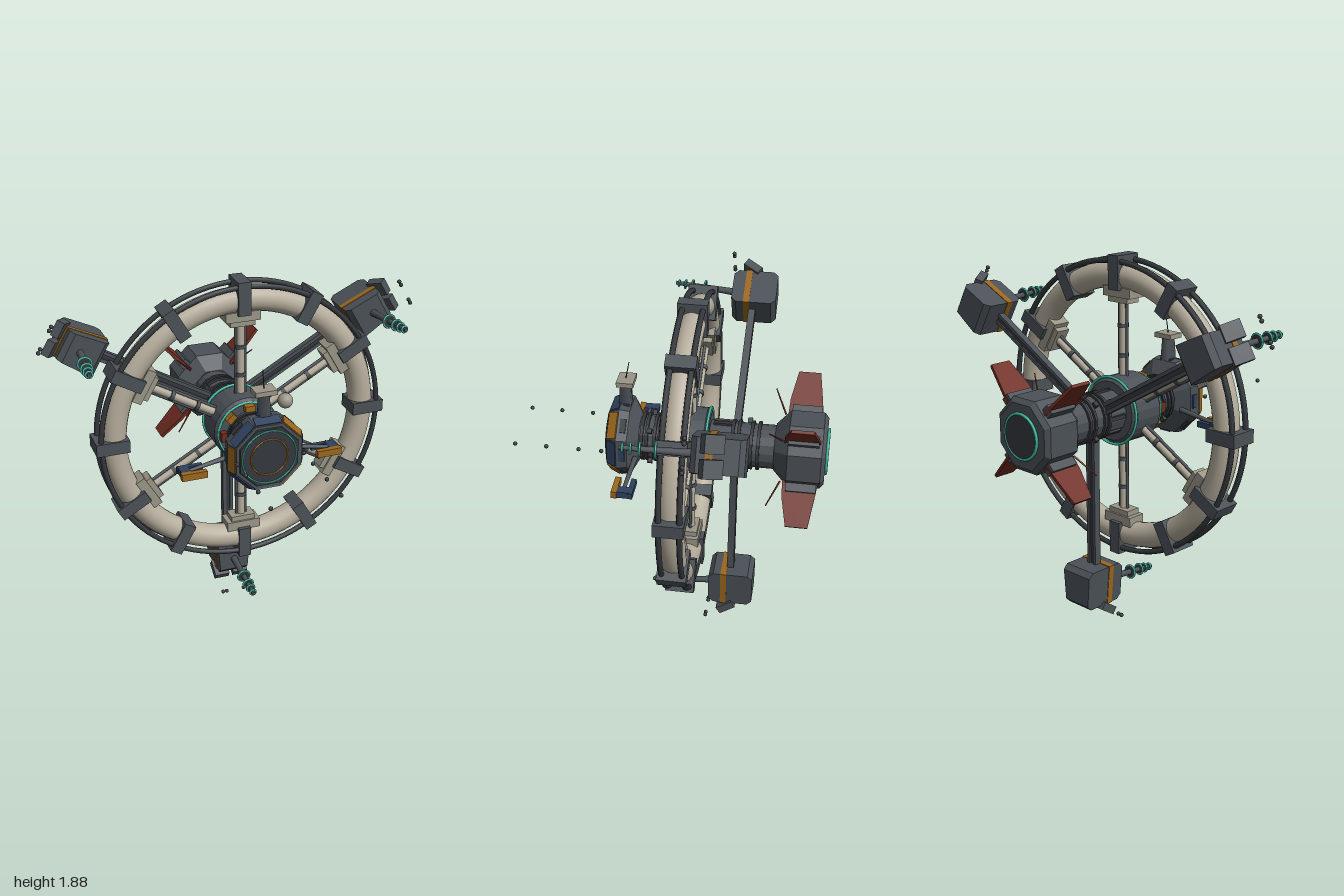
import * as THREE from 'three';

const V = (x, y, z) => new THREE.Vector3(x, y, z);
const UP = V(0, 1, 0);

function mat(name, color) {
  const m = new THREE.MeshStandardMaterial({ color });
  m.name = name;
  return m;
}

export function createModel() {
  const hull = mat('hullGrey', 0x4b5157), dark = mat('darkGrey', 0x34383c);
  const cream = mat('cream', 0xb6ae9d), stone = mat('stoneGrey', 0x9a9687);
  const teal = mat('teal', 0x40bfa6), rust = mat('rust', 0x702c22);
  const orange = mat('orange', 0x9c671c), navy = mat('navy', 0x30415e);

  const model = new THREE.Group();
  model.name = 'ringStation';
  const station = new THREE.Group();
  station.name = 'station';
  station.position.y = 1.11;
  model.add(station);

  const add = (parent, name, geo, m, x = 0, y = 0, z = 0) => {
    const mesh = new THREE.Mesh(geo, m);
    mesh.name = name;
    mesh.position.set(x, y, z);
    parent.add(mesh);
    return mesh;
  };
  const box = (parent, name, m, w, h, d, x, y, z) =>
    add(parent, name, new THREE.BoxGeometry(w, h, d), m, x, y, z);
  // Tapered rod between two points
  const rod = (parent, name, m, a, b, r1, r2 = r1, sides = 10) => {
    const d = b.clone().sub(a), c = a.clone().add(b).multiplyScalar(0.5);
    const mesh = add(parent, name, new THREE.CylinderGeometry(r2, r1, d.length(), sides), m, c.x, c.y, c.z);
    mesh.quaternion.setFromUnitVectors(UP, d.normalize());
    return mesh;
  };
  // Faceted solid around the z axis from [apothem, z] points, z rising
  const turned = (name, m, pts, sides) => {
    const k = 1 / Math.cos(Math.PI / sides);
    const g = new THREE.LatheGeometry(pts.map(([r, z]) => new THREE.Vector2(r * k, z)), sides, Math.PI / sides)
      .rotateX(Math.PI / 2).toNonIndexed();
    g.computeVertexNormals();
    return add(station, name, g, m);
  };
  const hoop = (parent, name, m, R, r, z, seg = 64) =>
    add(parent, name, new THREE.TorusGeometry(R, r, 8, seg), m, 0, 0, z);
  // Group whose +y points outward at the given angle
  const spoke = (name, deg) => {
    const g = new THREE.Group();
    g.name = name;
    g.rotation.z = THREE.MathUtils.degToRad(deg - 90);
    station.add(g);
    return g;
  };

  // Habitat ring with outer rails and clamps
  const ringZ = -0.1;
  add(station, 'habitatRing', new THREE.TorusGeometry(0.668, 0.064, 20, 96), cream, 0, 0, ringZ);
  for (const s of [-1, 1]) hoop(station, 'outerRail', dark, 0.742, 0.014, ringZ + s * 0.049, 96);
  for (let i = 0; i < 12; i++) {
    box(spoke('clampMount', i * 30), 'ringClamp', hull, 0.066, 0.17, 0.144, 0, 0.687, ringZ);
  }

  // Six spokes
  for (let i = 0; i < 6; i++) {
    const g = spoke('spoke', 30 + i * 60);
    rod(g, 'spokeTube', cream, V(0, 0.15, ringZ), V(0, 0.6, ringZ), 0.021, 0.021, 14);
    for (const s of [-1, 1]) rod(g, 'spokeRail', hull, V(s * 0.025, 0.15, ringZ), V(s * 0.025, 0.56, ringZ), 0.008);
    for (const r of [0.27, 0.42]) rod(g, 'spokeCollar', hull, V(0, r - 0.01, ringZ), V(0, r + 0.01, ringZ), 0.028);
    box(g, 'spokeFoot', stone, 0.18, 0.05, 0.1, 0, 0.59, ringZ);
    box(g, 'spokeFootStep', stone, 0.13, 0.03, 0.08, 0, 0.552, ringZ);
  }

  // Central spine
  turned('spine', hull, [[0, -0.56], [0.108, -0.56], [0.108, 0.19], [0, 0.19]], 16);
  for (const z of [-0.44, -0.405, -0.34, -0.31, 0.05, 0.075, 0.115, 0.14])
    turned('spineCollar', dark, [[0.1, z - 0.008], [0.12, z - 0.008], [0.12, z + 0.008], [0.1, z + 0.008]], 16);
  turned('ringHub', hull, [[0, -0.195], [0.15, -0.195], [0.17, -0.175], [0.17, -0.015], [0.15, 0.01], [0, 0.01]], 24);
  hoop(station, 'hubLightBack', teal, 0.172, 0.007, -0.187);
  hoop(station, 'hubLightFront', teal, 0.155, 0.006, 0.006);
  for (let i = 0; i < 8; i++) {
    const g = spoke('hubBoxMount', i * 45);
    box(g, 'hubBox', i % 4 ? orange : rust, 0.05, 0.03, 0.036, 0, 0.137, 0.03);
    box(g, 'spineRib', dark, 0.022, 0.014, 0.1, 0, 0.112, -0.26);
  }
  for (const z of [-0.385, 0.1]) for (let i = 0; i < 4; i++)
    box(spoke('jetMount', 45 + i * 90), 'spineJet', dark, 0.024, 0.025, 0.024, 0, 0.124, z);

  // Octagonal command head
  turned('commandHead', hull, [[0, 0.155], [0.108, 0.155], [0.185, 0.2], [0.193, 0.25], [0.168, 0.305], [0, 0.305]], 8);
  turned('headFace', dark, [[0, 0.3], [0.155, 0.3], [0.15, 0.312], [0, 0.312]], 8);
  hoop(station, 'headTealRing', teal, 0.14, 0.004, 0.312);
  hoop(station, 'headOrangeRing', orange, 0.095, 0.004, 0.312);
  const rim = [navy, orange, navy, navy, orange, navy, hull, orange];
  rim.forEach((m, i) => {
    const g = spoke('headFacet', i * 45);
    const bevel = box(g, 'bevelPlate', m, 0.135, 0.009, 0.05, 0, 0.182, 0.278);
    bevel.rotation.x = Math.atan2(0.025, 0.055);
    box(g, 'rimPlate', i % 2 ? dark : navy, 0.07, 0.009, 0.03, 0, 0.191, 0.225);
  });

  // Mast on top of the head
  const mast = add(station, 'mastBase', new THREE.CylinderGeometry(0.034, 0.045, 0.14, 4, 1, false, Math.PI / 4), hull, 0, 0.25, 0.232);
  mast.scale.x = 0.8;
  box(station, 'mastPlate', stone, 0.11, 0.025, 0.085, 0, 0.317, 0.228);
  rod(station, 'mastWhip', dark, V(0, 0.32, 0.232), V(0, 0.42, 0.213), 0.003, 0.002, 6);
  add(station, 'sensorBall', new THREE.SphereGeometry(0.04, 20, 14), stone, 0.23, 0.1, -0.06);

  // Side grippers and forward beacons
  for (const s of [-1, 1]) {
    rod(station, 'gripperArm', hull, V(s * 0.15, -0.04, 0.165), V(s * 0.38, -0.075, 0.18), 0.014, 0.009);
    box(station, 'gripperPalm', navy, 0.05, 0.034, 0.08, s * 0.39, -0.08, 0.18);
    box(station, 'gripperBackJaw', navy, 0.13, 0.03, 0.026, s * 0.355, -0.08, 0.143);
    box(station, 'gripperFrontJaw', orange, 0.13, 0.036, 0.028, s * 0.355, -0.08, 0.221);
    for (const z of [0.33, 0.445, 0.61, 0.77])
      add(station, 'beacon', new THREE.SphereGeometry(0.011, 10, 8), dark, s * 0.172, 0, z);
  }

  // Engine block, lit end and diagonal fins
  turned('engineBlock', hull, [[0, -0.775], [0.155, -0.775], [0.178, -0.755], [0.178, -0.59], [0.11, -0.52], [0, -0.52]], 8);
  turned('engineEnd', dark, [[0, -0.785], [0.105, -0.785], [0.11, -0.77], [0, -0.77]], 24);
  hoop(station, 'engineLight', teal, 0.11, 0.007, -0.781);
  const finShape = new THREE.Shape([[-0.75, 0.15], [-0.735, 0.26], [-0.715, 0.395], [-0.605, 0.395], [-0.575, 0.25], [-0.57, 0.15]]
    .map(([z, r]) => new THREE.Vector2(-z, r)));
  const finGeo = new THREE.ExtrudeGeometry(finShape, { depth: 0.016, bevelEnabled: false })
    .translate(0, 0, -0.008).rotateY(Math.PI / 2);
  for (let i = 0; i < 4; i++) {
    const g = spoke('finMount', 45 + i * 90);
    add(g, 'fin', finGeo, rust);
    box(g, 'finRoot', hull, 0.05, 0.07, 0.15, 0, 0.185, -0.665);
    rod(g, 'finSpike', rust, V(0, 0.17, -0.56), V(0, 0.3, -0.5), 0.005, 0.003, 6);
  }

  // Outer pods: chamfered side outline, narrower at the outer end
  const taper = (g) => {
    const p = g.attributes.position;
    for (let i = 0; i < p.count; i++) p.setX(i, p.getX(i) * (1 - 0.95 * p.getY(i)));
    g.computeVertexNormals();
    return g;
  };
  const a = 0.117, b = 0.104, c = 0.025;
  const outline = new THREE.Shape([[-a, -b + c], [-a + c, -b], [a - c, -b], [a, -b + c], [a, b - c], [a - c, b], [-a + c, b], [-a, b - c]]
    .map(([z, y]) => new THREE.Vector2(z, y)));
  const podGeo = taper(new THREE.ExtrudeGeometry(outline, { depth: 0.172, bevelEnabled: false })
    .translate(0, 0, -0.086).rotateY(-Math.PI / 2));
  const bandGeo = taper(new THREE.BoxGeometry(0.178, 0.213, 0.032));
  for (const deg of [30, 150, 270]) {
    const g = spoke('podArm', deg);
    for (const s of [-1, 1]) {
      box(g, 'boomRail', hull, 0.018, 0.7, 0.036, s * 0.02, 0.45, -0.32);
      const thruster = box(g, 'podThruster', hull, 0.082, 0.042, 0.095, s * 0.053, 1.012, -0.305);
      thruster.rotation.x = -0.59;
      for (const x of [0.05, 0.072])
        add(g, 'podBeacon', new THREE.SphereGeometry(0.011, 10, 8), dark, s * x, 1.096, -0.195);
    }
    box(g, 'boomCore', dark, 0.024, 0.7, 0.022, 0, 0.45, -0.32);
    add(g, 'pod', podGeo, hull, 0, 0.885, -0.327);
    add(g, 'podBand', bandGeo, orange, 0, 0.885, -0.29);

    // Probe with light rings
    const p0 = V(0, 0.9, -0.22), p1 = V(0, 0.935, 0.105);
    rod(g, 'probe', hull, p0, p1, 0.019, 0.01, 12);
    const dir = p1.clone().sub(p0).normalize();
    for (const [t, R] of [[0.51, 0.034], [0.72, 0.028], [0.84, 0.022], [0.95, 0.016]]) {
      const q = p0.clone().lerp(p1, t);
      const ring = hoop(g, 'probeRing', teal, R, 0.005, 0, 24);
      ring.position.copy(q);
      ring.quaternion.setFromUnitVectors(V(0, 0, 1), dir);
      rod(g, 'probeDisc', dark, q.clone().addScaledVector(dir, -0.004), q.clone().addScaledVector(dir, 0.004), R, R, 16);
    }
  }
  return model;
}
